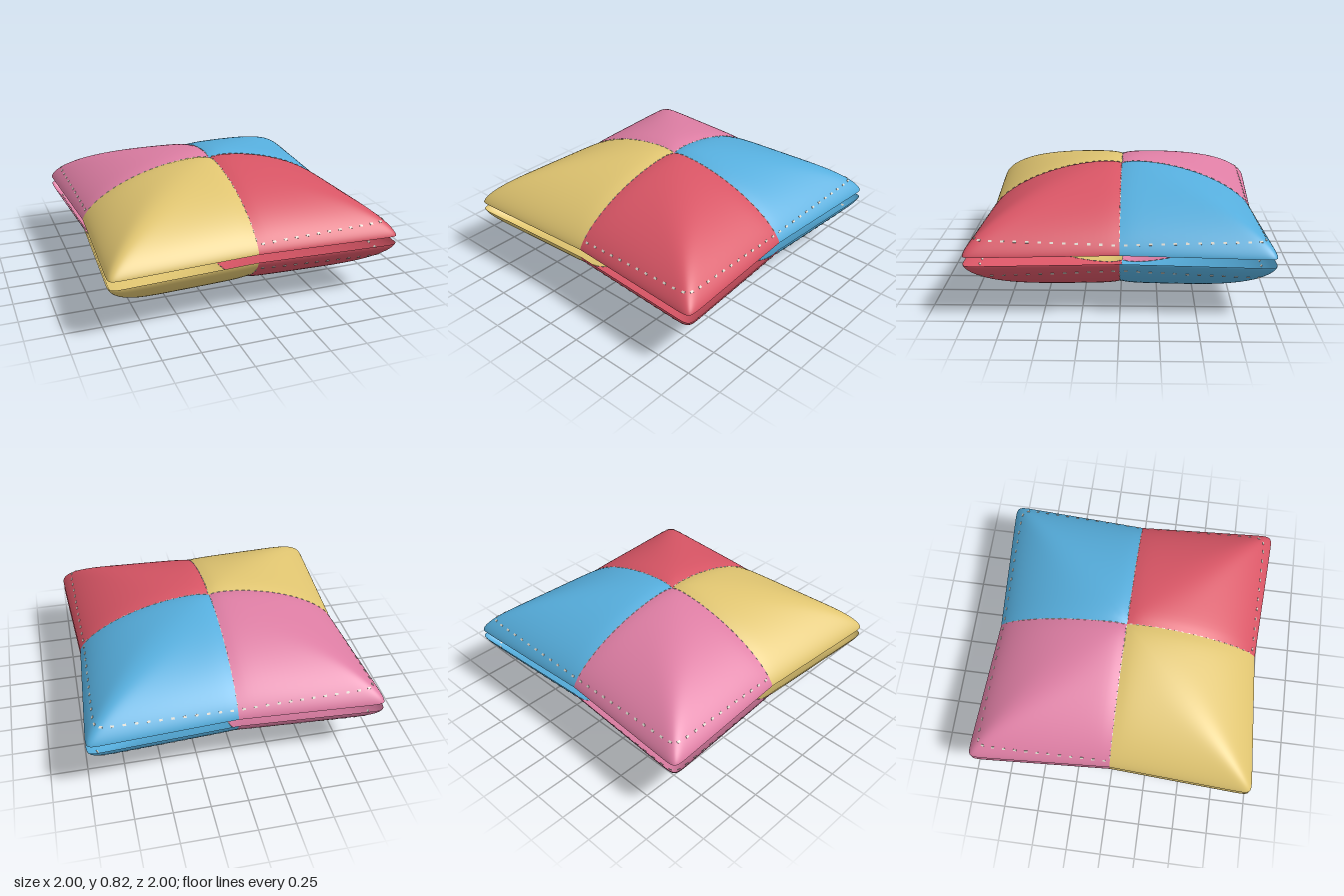
import * as THREE from 'three';
import { mergeGeometries } from 'three/addons/utils/BufferGeometryUtils.js';

const MID = 0.412;   // height of the open slit between the halves
const GAP = 0.028;   // half of that slit
const N = 40;        // grid cells along a patch

const mat = (name, color, side = THREE.DoubleSide) => {
  const m = new THREE.MeshStandardMaterial({ color, side });
  m.name = name;
  return m;
};

// Point on one puffed quarter; a and b run from 0 at the centre to 1 at the rim
function surface(a, b, sx, sy, sz) {
  const m = Math.max(a, b);
  let u = a, v = b;
  if (m > 0) {
    // rounded-square contours, soft in the middle and crisp at the rim
    const n = 4 + 36 * Math.pow(m, 4);
    const norm = Math.pow(Math.pow(a / m, n) + Math.pow(b / m, n), 1 / n);
    u = a / norm;
    v = b / norm;
  }
  const x = u * (0.945 + 0.058 * v);
  const z = v * (0.945 + 0.058 * u);
  const groove = (t) => 1 - 0.055 * Math.exp(-t / 0.055);
  const h = 0.394 * Math.pow(Math.max(0, 1 - m * m), 0.69) * groove(x) * groove(z);
  return new THREE.Vector3(sx * x, MID + sy * (GAP + h), sz * z);
}

// One quarter of one half of the cover
function patchGeometry(sx, sy, sz) {
  const pos = [], idx = [];
  const ease = (i) => Math.sin((i / N) * Math.PI / 2);
  for (let i = 0; i <= N; i++)
    for (let j = 0; j <= N; j++) pos.push(...surface(ease(i), ease(j), sx, sy, sz).toArray());
  const tri = (p, q, r) => (sx * sy * sz > 0 ? idx.push(p, q, r) : idx.push(p, r, q));
  for (let i = 0; i < N; i++)
    for (let j = 0; j < N; j++) {
      const p = i * (N + 1) + j, q = p + N + 1;
      tri(p, p + 1, q + 1);
      tri(p, q + 1, q);
    }
  const g = new THREE.BufferGeometry();
  g.setAttribute('position', new THREE.Float32BufferAttribute(pos, 3));
  g.setIndex(idx);
  g.computeVertexNormals();
  return g;
}

// A thin dash lying on the surface at (a, b), running along b or along a
function dash(a, b, alongB, s, length, width) {
  const e = 0.006;
  const inside = (t) => THREE.MathUtils.clamp(t, 0, 0.999);
  const at = (da, db) => surface(inside(a + da), inside(b + db), ...s);
  const ta = at(e, 0).sub(at(-e, 0)), tb = at(0, e).sub(at(0, -e));
  const along = (alongB ? tb : ta).clone().normalize();
  const normal = new THREE.Vector3().crossVectors(tb, ta).normalize();
  const across = new THREE.Vector3().crossVectors(along, normal).normalize();
  const g = new THREE.BoxGeometry(length, 0.006, width);
  return g.applyMatrix4(new THREE.Matrix4().makeBasis(along, normal, across).setPosition(at(0, 0)));
}

export function createModel() {
  const model = new THREE.Group();
  model.name = 'patchworkCushion';
  const thread = mat('thread', 0xd8d3c8, THREE.FrontSide);
  const quarters = [
    { name: 'red', sx: 1, sz: 1, material: mat('red', 0xd85565), stitched: true },
    { name: 'blue', sx: 1, sz: -1, material: mat('blue', 0x56aedd), stitched: true },
    { name: 'pink', sx: -1, sz: -1, material: mat('pink', 0xde7ea4), stitched: true },
    { name: 'yellow', sx: -1, sz: 1, material: mat('yellow', 0xdfc470), stitched: false },
  ];

  for (const sy of [1, -1]) {
    const half = new THREE.Group();
    half.name = sy > 0 ? 'upperHalf' : 'lowerHalf';
    const stitches = [];
    for (const q of quarters) {
      const s = [q.sx, sy, q.sz];
      const patch = new THREE.Mesh(patchGeometry(...s), q.material);
      patch.name = q.name + 'Patch';
      half.add(patch);
      if (!q.stitched) continue;
      // running stitch just inside the rim
      for (let i = 0; i < 12; i++) {
        const t = 0.04 + i * 0.078;
        const m = 0.968 - 0.035 * t;
        stitches.push(dash(m, t, true, s, 0.022, 0.014));
        stitches.push(dash(t, m, false, s, 0.022, 0.014));
      }
    }
    // fine stitches in the two crossing seams
    for (const [sx, sz] of [[1, 1], [-1, -1]])
      for (let i = 0; i < 20; i++) {
        const t = 0.03 + i * 0.048;
        stitches.push(dash(t, 0.002, false, [sx, sy, sz], 0.022, 0.005));
        stitches.push(dash(0.002, t, true, [sx, sy, sz], 0.022, 0.005));
      }
    const stitching = new THREE.Mesh(mergeGeometries(stitches), thread);
    stitching.name = 'stitching';
    half.add(stitching);
    model.add(half);
  }
  return model;
}
